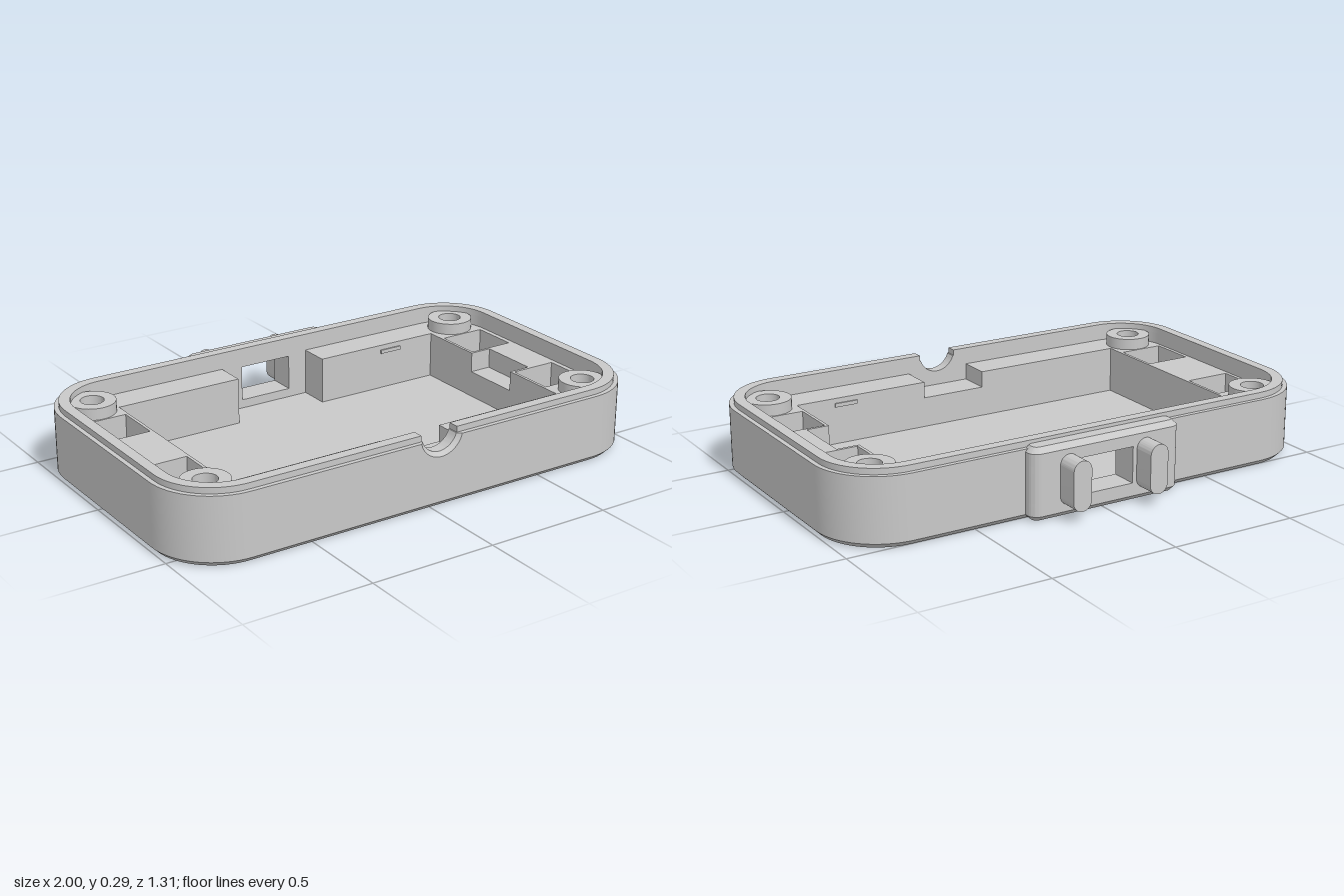
import * as THREE from 'three';
import { toCreasedNormals } from 'three/addons/utils/BufferGeometryUtils.js';

const FRONT = 0.655, BACK = -0.52, R = 0.25;      // case footprint
const ZC = (FRONT + BACK) / 2, HZ = (FRONT - BACK) / 2;
const FLOOR = 0.035, LEDGE = 0.22, RIM = 0.265, TOP = 0.288;
const BOSSES = [[-0.83, -0.355], [0.83, -0.355], [-0.83, 0.485], [0.83, 0.485]];

// Half of the rounded outline, from the front at xf round one side to the back at xb
function halfOutline(side, inset, xf, xb) {
  const r = R - inset, pts = [new THREE.Vector2(xf, FRONT - inset)];
  const cx = side * (1 - R);
  for (let corner = 0; corner < 2; corner++) {
    const cz = corner ? BACK + R : FRONT - R;
    for (let i = 0; i <= 16; i++) {
      const a = Math.PI / 2 - (corner + i / 16) * Math.PI / 2;
      pts.push(new THREE.Vector2(cx + side * r * Math.cos(a), cz + r * Math.sin(a)));
    }
  }
  pts.push(new THREE.Vector2(xb, BACK + inset));
  return pts;
}

function fullOutline(inset) {
  return new THREE.Shape([...halfOutline(1, inset, 0, 0), ...halfOutline(-1, inset, 0, 0).reverse()]
    .filter((p, i, all) => !i || p.distanceTo(all[i - 1]) > 1e-6).slice(0, -1));
}

function rectPath(x0, x1, y0, y1) {
  return new THREE.Path([[x0, y0], [x1, y0], [x1, y1], [x0, y1]].map(p => new THREE.Vector2(...p)));
}

function roundRect(x0, x1, y0, y1, r) {
  const s = new THREE.Shape();
  s.absarc(x1 - r, y0 + r, r, -Math.PI / 2, 0);
  s.absarc(x1 - r, y1 - r, r, 0, Math.PI / 2);
  s.absarc(x0 + r, y1 - r, r, Math.PI / 2, Math.PI);
  s.absarc(x0 + r, y0 + r, r, Math.PI, Math.PI * 1.5);
  return s;
}

function addBores(shape, radius, bosses = BOSSES) {
  for (const [x, z] of bosses) shape.holes.push(new THREE.Path().absarc(x, z, radius, 0, Math.PI * 2));
  return shape;
}

const extrude = (shape, depth) =>
  new THREE.ExtrudeGeometry(shape, { depth, bevelEnabled: false, curveSegments: 16 });

// Pull the outer edge of one end face inwards by d
function chamfer(geo, zAt, cx, cy, hx, hy, r, d) {
  const p = geo.attributes.position;
  for (let i = 0; i < p.count; i++) {
    if (Math.abs(p.getZ(i) - zAt) > 1e-5) continue;
    const sx = THREE.MathUtils.clamp(p.getX(i), cx - hx + r, cx + hx - r);
    const sy = THREE.MathUtils.clamp(p.getY(i), cy - hy + r, cy + hy - r);
    const dx = p.getX(i) - sx, dy = p.getY(i) - sy;
    if (Math.hypot(dx, dy) < r - 0.002) continue;
    const k = (r - d) / r;
    p.setXY(i, sx + dx * k, sy + dy * k);
  }
  return geo;
}

export function createModel() {
  const model = new THREE.Group();
  model.name = 'enclosure';
  const grey = new THREE.MeshStandardMaterial({ color: 0xc8c8c8 });
  grey.name = 'grey plastic';

  function add(name, geo) {
    const mesh = new THREE.Mesh(toCreasedNormals(geo, 0.5), grey);
    mesh.name = name;
    model.add(mesh);
    return mesh;
  }
  // Plan shape (x, z) raised from y0 to y1
  const raise = (geo, y1) => geo.rotateX(Math.PI / 2).translate(0, y1, 0);
  const slab = (name, shape, y0, y1) => add(name, raise(extrude(shape, y1 - y0), y1));
  const box = (name, x0, x1, y0, y1, z0, z1) => add(name, new THREE.BoxGeometry(x1 - x0, y1 - y0, z1 - z0)
    .translate((x0 + x1) / 2, (y0 + y1) / 2, (z0 + z1) / 2));

  // Chamfered bottom and inner floor
  const base = extrude(addBores(fullOutline(0), 0.07), 0.02);
  add('base', raise(chamfer(base, 0.02, 0, ZC, 1, HZ, R, 0.02), 0.02));
  slab('floor', addBores(fullOutline(0.05), 0.08), 0.018, FLOOR);

  for (const side of [-1, 1]) {
    const positive = side > 0;
    const label = positive ? 'left' : 'right';

    // Outer wall and raised lip
    const xf = positive ? 0.17 : -0.1, xb = positive ? 0.1 : -0.12;
    slab(label + 'Wall', new THREE.Shape([...halfOutline(side, 0, xf, xb),
      ...halfOutline(side, 0.06, xf, xb).reverse()]), 0.02, RIM);
    const xl = positive ? 0.113 : -0.043;
    slab(label + 'Lip', new THREE.Shape([...halfOutline(side, 0.018, xl, 0),
      ...halfOutline(side, 0.06, xl, 0).reverse()]), RIM, TOP);

    // Ledge round the central pocket, with square pits
    const xp = positive ? 0.72 : -0.73, slotF = positive ? 0.165 : -0.1, slotB = positive ? 0.18 : -0.21;
    const step = positive ? [[xp, -0.058], [0.81, -0.058], [0.81, 0.188], [xp, 0.188]] : [];
    const inner = [[slotB, -0.335], [xp, -0.335], ...step, [xp, 0.465], [slotF, 0.465]];
    const ledge = addBores(new THREE.Shape([...halfOutline(side, 0.05, slotF, slotB),
      ...inner.map(p => new THREE.Vector2(...p))]), 0.08, BOSSES.filter(([x]) => x * side > 0));
    const [px0, px1] = positive ? [0.732, 0.92] : [-0.925, -0.742];
    for (const [z0, z1] of [[-0.26, -0.07], [0.2, 0.39]]) {
      ledge.holes.push(rectPath(px0, px1, z0, z1));
      box('pitFloor', px0, px1, 0.03, 0.1, z0, z1);
    }
    slab(label + 'Ledge', ledge, 0.03, LEDGE);
  }
  box('sideStep', 0.72, 0.81, 0.03, 0.14, -0.058, 0.188);
  box('frontStep', -0.1, 0.165, 0.03, 0.155, 0.465, 0.6);

  // Small catches on the pocket walls
  box('backCatch', 0.465, 0.56, 0.185, 0.2, -0.337, -0.329);
  box('frontCatch', 0.465, 0.56, 0.185, 0.2, 0.459, 0.467);

  // Screw bosses with counterbores open at the bottom
  const profile = [[0.09, 0.03], [0.09, RIM], [0.045, RIM], [0.045, 0.1], [0.07, 0.1], [0.07, 0]]
    .map(p => new THREE.Vector2(...p));
  for (const [x, z] of BOSSES) add('screwBoss', new THREE.LatheGeometry(profile, 40)).position.set(x, 0, z);

  // Front wall section with a round cable notch, flared outside
  const nx = 0.035, ny = 0.29, nr = 0.078;
  const a = Math.asin((ny - RIM) / nr);
  const notch = new THREE.Shape();
  notch.moveTo(-0.1, 0.02).lineTo(0.17, 0.02).lineTo(0.17, RIM);
  notch.absarc(nx, ny, nr, -a, -Math.PI + a, true);
  notch.lineTo(-0.1, RIM);
  add('notchWall', extrude(notch, 0.045).translate(0, 0, 0.595));
  const flare = extrude(notch, 0.015), p = flare.attributes.position;
  for (let i = 0; i < p.count; i++) {
    const dx = p.getX(i) - nx, dy = p.getY(i) - ny;
    if (p.getZ(i) < 0.01 || Math.hypot(dx, dy) > nr + 0.002) continue;
    p.setX(i, nx + dx * 1.2);
    if (p.getY(i) < RIM - 0.001) p.setY(i, ny + dy * 1.2);
  }
  add('notchFlare', flare.translate(0, 0, 0.64));

  // Back wall above and below the window
  box('windowSill', -0.12, 0.1, 0.02, 0.07, BACK, BACK + 0.06);
  box('windowHead', -0.12, 0.1, 0.21, RIM, BACK, BACK + 0.06);

  // Back plate, rounded in plan, chamfered top and bottom, open at the window
  const plate = roundRect(-0.33, 0.305, -0.57, -0.48, 0.04);
  const plateEnd = zAt => chamfer(extrude(plate, 0.02), zAt, -0.0125, -0.525, 0.3175, 0.045, 0.04, 0.02);
  add('backPlateBottom', raise(plateEnd(0.02), 0.02));
  slab('backPlateSill', plate, 0.02, 0.07);
  slab('backPlateHead', plate, 0.21, 0.255);
  add('backPlateTop', raise(plateEnd(0), 0.275));
  for (const [edge, end, side] of [[-0.12, -0.33, -1], [0.1, 0.305, 1]]) {
    const cheek = new THREE.Shape();
    const start = side > 0 ? 0 : Math.PI;
    cheek.moveTo(edge, -0.48).lineTo(end, -0.48);
    cheek.absarc(end - side * 0.04, -0.53, 0.04, start, -Math.PI / 2 + (side > 0 ? 0 : Math.PI * 2), side > 0);
    cheek.lineTo(edge, -0.57);
    slab('backPlateCheek', cheek, 0.07, 0.21);
  }

  // Round-ended posts beside the window
  for (const x of [-0.175, 0.153]) {
    add('post', extrude(roundRect(x - 0.038, x + 0.038, 0.045, 0.235, 0.0379), 0.1).translate(0, 0, -0.657));
  }
  return model;
}
